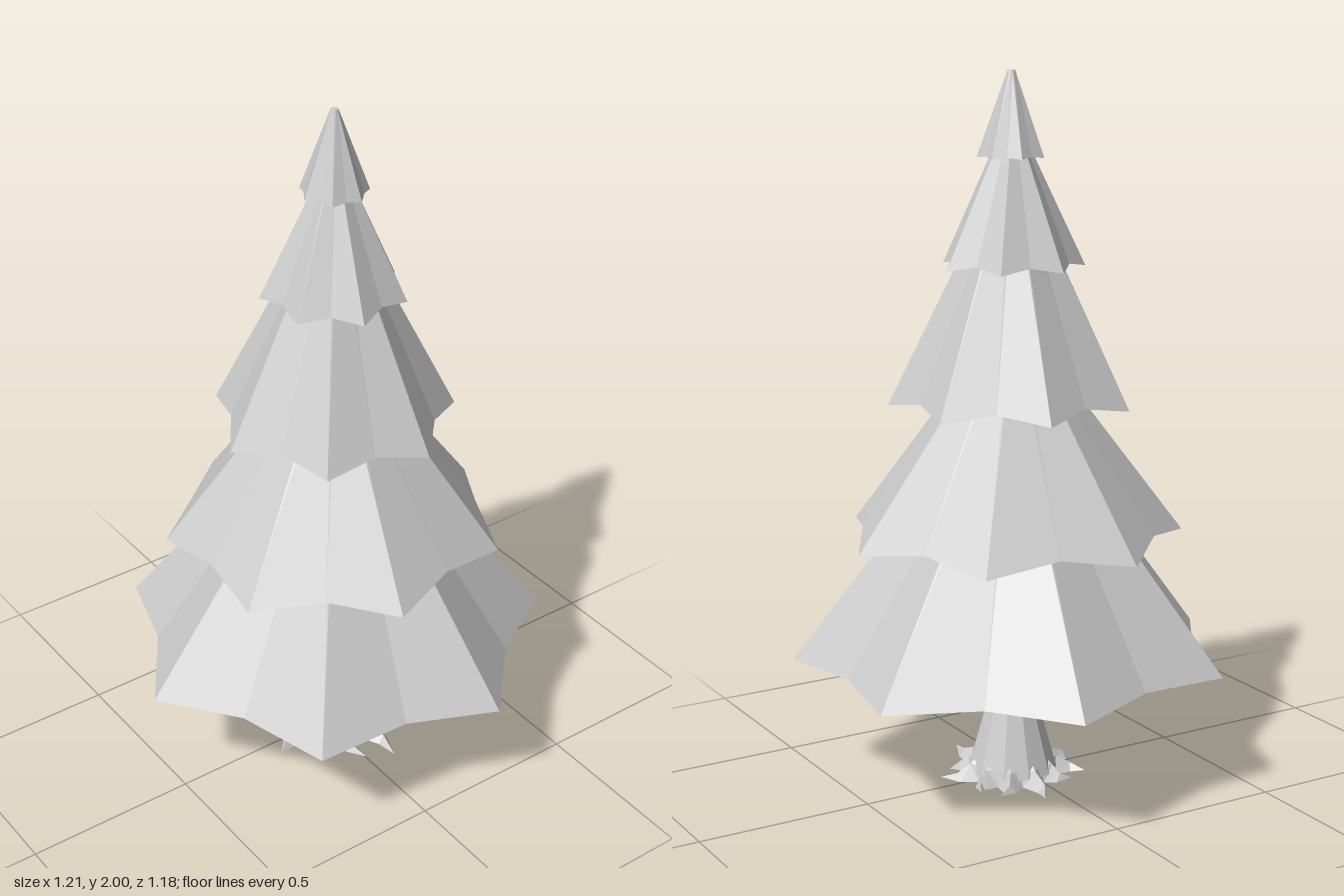
import * as THREE from 'three';

const AXIS_Z = -0.033; // the trunk axis sits slightly behind the centre

const material = new THREE.MeshStandardMaterial({ color: 0xcccccc, flatShading: true });

// Mesh from a list of triangles, each three Vector3 corners
function facetedMesh(name, triangles) {
  const geometry = new THREE.BufferGeometry().setFromPoints(triangles.flat());
  geometry.computeVertexNormals();
  const mesh = new THREE.Mesh(geometry, material);
  mesh.name = name;
  return mesh;
}

// Point at an angle from +z (turning towards +x)
const polar = (angle, r, y) => new THREE.Vector3(r * Math.sin(angle), y, r * Math.cos(angle));

// Seven-pointed skirt of branches with a shallow hollow underside
function branchTier({ tip, valley, tipY, valleyY, top, topR, turned }) {
  const n = 14;
  const rim = [], upper = [], tris = [];
  for (let i = 0; i < n; i++) {
    const a = (i / n) * Math.PI * 2 + (turned ? Math.PI : 0);
    rim.push(i % 2 ? polar(a, valley, valleyY) : polar(a, tip, tipY));
    upper.push(polar(a, topR, top));
  }
  const crown = new THREE.Vector3(0, top, 0);
  const hollow = new THREE.Vector3(0, tipY + 0.16 * tip, 0);
  for (let i = 0; i < n; i++) {
    const j = (i + 1) % n;
    tris.push([rim[i], rim[j], upper[j]], [rim[i], upper[j], upper[i]]);
    tris.push([upper[i], upper[j], crown], [rim[j], rim[i], hollow]);
  }
  return facetedMesh('branchTier', tris);
}

// Ring of flat, curved, pointed roots around the trunk foot
function rootRing(lengths) {
  const n = lengths.length, step = (Math.PI * 2) / n, tris = [];
  const centre = new THREE.Vector3(0, 0, 0);
  lengths.forEach((length, i) => {
    const a = -Math.PI / 2 + i * step;
    const bend = (i % 2 ? 0.13 : -0.13);
    const midR = 0.125 + (length - 0.125) * 0.5;
    const a0 = a - step / 2, a1 = a + step / 2;
    // Ground outline and raised ridge
    const g0 = polar(a0, 0.125, 0), g1 = polar(a1, 0.125, 0);
    const m0 = polar(a - 0.11, midR, 0), m1 = polar(a + 0.11, midR, 0);
    const tip = polar(a + bend, length, 0.006);
    const ridge = polar(a, 0.128, 0.045), midRidge = polar(a, midR, 0.022);
    // Joint with the trunk
    const t0 = polar(a0, 0.11, 0.04), t1 = polar(a1, 0.11, 0.04);
    const inner = polar(a, 0.11, 0.06);
    tris.push(
      [g0, m0, midRidge], [g0, midRidge, ridge], [m0, tip, midRidge],
      [m1, g1, ridge], [m1, ridge, midRidge], [tip, m1, midRidge],
      [t0, g0, ridge], [t0, ridge, inner], [g1, t1, ridge], [t1, inner, ridge],
      [g0, centre, m0], [m0, centre, m1], [m1, centre, g1], [m0, m1, tip],
    );
  });
  return facetedMesh('roots', tris);
}

export function createModel() {
  const tree = new THREE.Group();
  tree.name = 'pineTree';
  const body = new THREE.Group();
  body.name = 'treeBody';
  body.position.z = AXIS_Z;
  tree.add(body);

  // Branch tiers from bottom to top, each turned half a point
  const tiers = [
    { tip: 0.62, valley: 0.52, tipY: 0.36, valleyY: 0.373, top: 1.13, topR: 0.025 },
    { tip: 0.482, valley: 0.417, tipY: 0.715, valleyY: 0.745, top: 1.33, topR: 0.02 },
    { tip: 0.343, valley: 0.287, tipY: 1.088, valleyY: 1.113, top: 1.74, topR: 0.02 },
    { tip: 0.203, valley: 0.168, tipY: 1.47, valleyY: 1.485, top: 1.88, topR: 0.01 },
    { tip: 0.095, valley: 0.081, tipY: 1.767, valleyY: 1.772, top: 2, topR: 0.01 },
  ];
  tiers.forEach((t, i) => body.add(branchTier({ ...t, turned: i % 2 === 1 })));

  // Flared trunk
  const profile = [[0.128, 0.02], [0.12, 0.05], [0.075, 0.21], [0.058, 0.36], [0.055, 0.5]]
    .map(([r, y]) => new THREE.Vector2(r, y));
  const trunk = new THREE.Mesh(new THREE.LatheGeometry(profile, 11), material);
  trunk.name = 'trunk';
  body.add(trunk);

  body.add(rootRing([0.235, 0.18, 0.21, 0.25, 0.19, 0.22, 0.26, 0.18, 0.21, 0.19, 0.2]));
  return tree;
}
